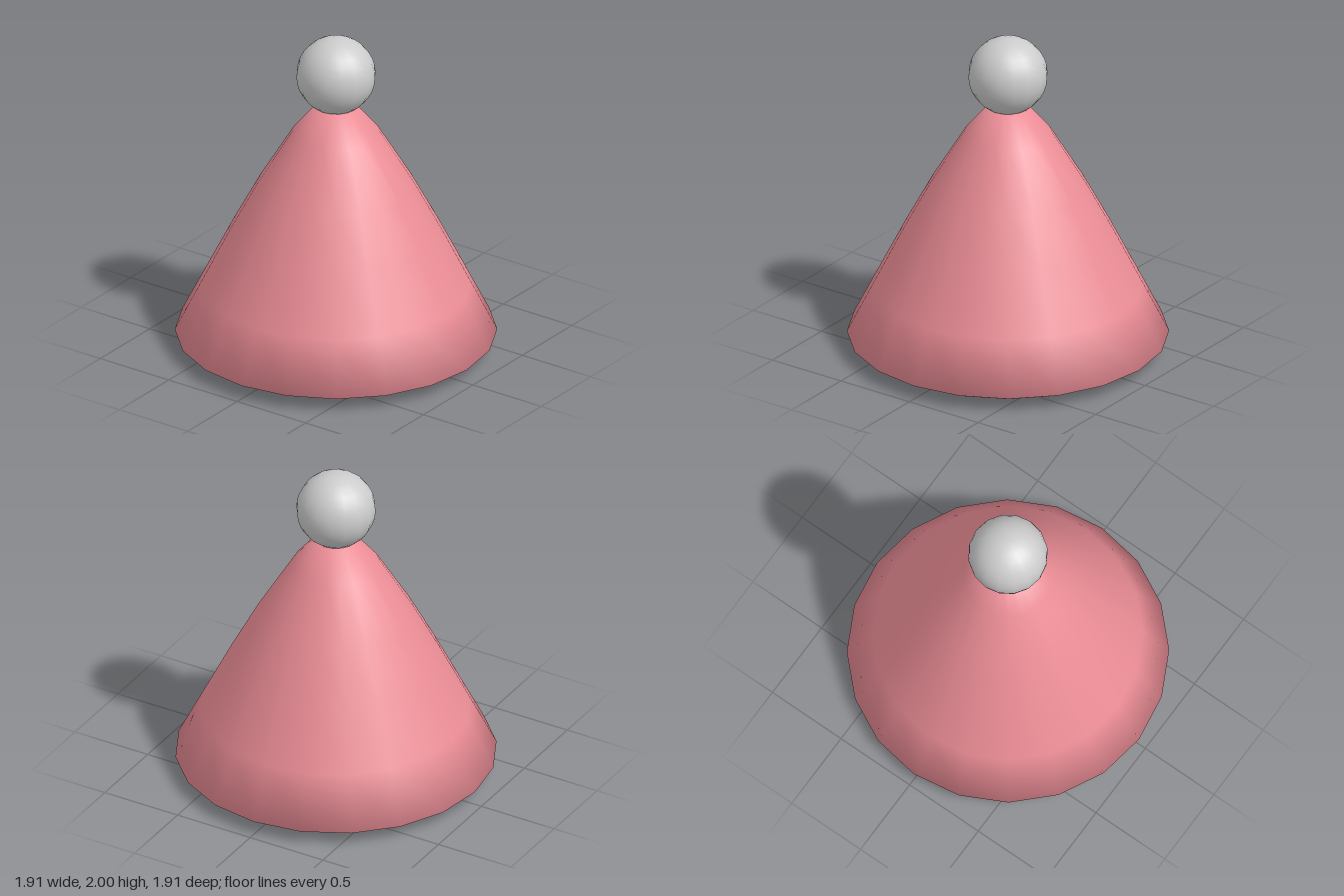
import * as THREE from 'three';

const SIDES = 20;

// Lathe a rising profile, blending neighbouring slopes evenly at every ring
function softLathe(profile) {
  const points = profile.map(([r, y]) => new THREE.Vector2(r, y));
  const geometry = new THREE.LatheGeometry(points, SIDES);
  const slopes = points.slice(1).map((p, i) =>
    new THREE.Vector2(p.y - points[i].y, points[i].x - p.x).normalize());
  const normals = points.map((p, i) => {
    if (i === 0) return new THREE.Vector2(0, -1);
    if (i === slopes.length) return new THREE.Vector2(0, 1);
    return slopes[i - 1].clone().add(slopes[i]).normalize();
  });
  const attribute = geometry.attributes.normal;
  for (let i = 0; i < attribute.count; i++) {
    const n = normals[i % points.length];
    const angle = Math.floor(i / points.length) * Math.PI * 2 / SIDES;
    attribute.setXYZ(i, n.x * Math.sin(angle), n.y, n.x * Math.cos(angle));
  }
  return geometry;
}

export function createModel() {
  const group = new THREE.Group();
  group.name = 'pomPomHat';
  const pink = new THREE.MeshStandardMaterial({ color: 0xea8c95 });
  const grey = new THREE.MeshStandardMaterial({ color: 0xcccccc });

  // Hat body: closed, slightly bulging cone with a soft rim and a shallow pointed underside
  const body = new THREE.Mesh(softLathe([
    [0, 0.005], [0.86, 0.045], [0.955, 0.09], [0.8, 0.4], [0.625, 0.75],
    [0.465, 1.05], [0.26, 1.39], [0.12, 1.56], [0, 1.565],
  ]), pink);
  body.name = 'hatBody';
  group.add(body);

  // Ball on the tip
  const ball = new THREE.Mesh(new THREE.SphereGeometry(0.237, 16, 16), grey);
  ball.name = 'pomPom';
  ball.position.y = 1.763;
  group.add(ball);

  return group;
}
